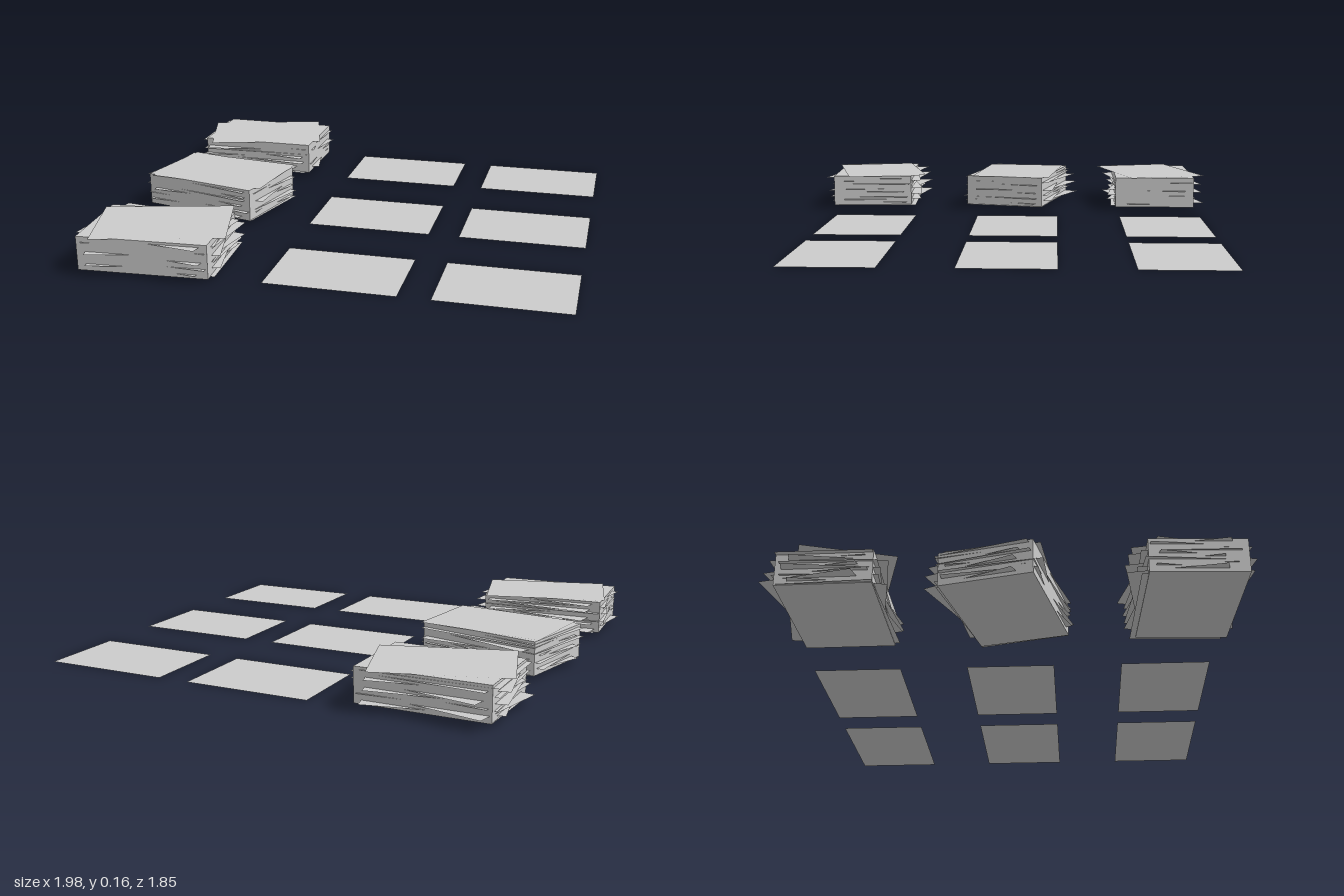
import * as THREE from 'three';

const W = 0.53, D = 0.37;

export function createModel() {
  const model = new THREE.Group();
  model.name = 'paperSheets';
  const paper = new THREE.MeshStandardMaterial({ color: 0xcccccc, side: THREE.DoubleSide });
  paper.name = 'paper grey';

  const sheetGeo = new THREE.PlaneGeometry(W, D).rotateX(-Math.PI / 2);
  const blockGeo = new THREE.BoxGeometry(W, 0.14, D);

  function add(parent, geo, name, x, y, z, turn) {
    const mesh = new THREE.Mesh(geo, paper);
    mesh.name = name;
    mesh.position.set(x, y, z);
    mesh.rotation.y = turn;
    parent.add(mesh);
  }

  // Single sheets lying flat in two columns
  for (const z of [-0.685, -0.03, 0.625]) {
    for (const x of [0.07, 0.73]) add(model, sheetGeo, 'looseSheet', x, 0, z, 0);
  }

  // Stacks: a solid block with turned sheets sticking out, listed bottom to top
  const stacks = [
    { x: -0.65, z: -0.68, turn: -0.01,
      turns: [-0.05, 0.2, -0.22, 0.05, -0.12, 0.13, -0.2, 0.02, 0.18, -0.08, 0, 0.29] },
    { x: -0.66, z: -0.02, turn: -0.23,
      turns: [-0.25, -0.42, -0.12, -0.33, -0.18, -0.4, -0.08, -0.28, -0.37, -0.2, -0.3, -0.13] },
    { x: -0.665, z: 0.69, turn: 0.055,
      turns: [0.05, -0.14, 0.2, -0.06, 0.12, -0.18, 0.24, 0.02, -0.1, 0.16, -0.15, 0.26] },
  ];
  const centreZ = [-0.68, -0.03, 0.67];
  stacks.forEach((s, k) => {
    const stack = new THREE.Group();
    stack.name = 'paperStack';
    add(stack, blockGeo, 'paperBlock', s.x, 0.085, s.z, s.turn);
    s.turns.forEach((turn, i) => {
      const y = 0.018 + (0.139 * i) / (s.turns.length - 1);
      const dx = 0.015 * Math.sin(i * 2.3 + k), dz = 0.012 * Math.cos(i * 1.7 + k);
      add(stack, sheetGeo, 'stackedSheet', -0.66 + dx, y, centreZ[k] + dz, turn);
    });
    model.add(stack);
  });

  return model;
}
